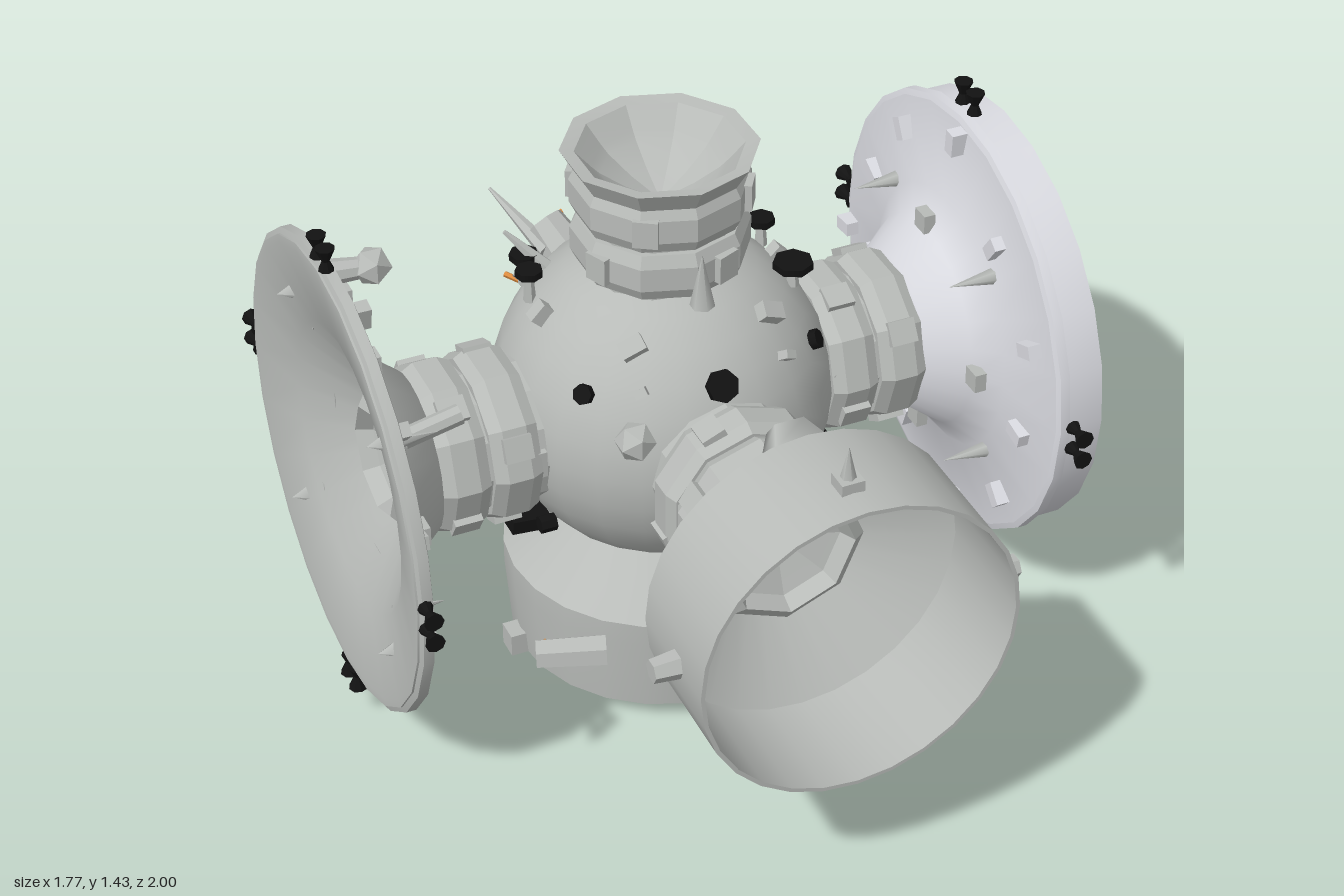
import * as THREE from 'three';
import { toCreasedNormals } from 'three/addons/utils/BufferGeometryUtils.js';

const mat = (name, color) => {
  const m = new THREE.MeshStandardMaterial({ color, side: THREE.DoubleSide });
  m.name = name;
  return m;
};
const V = (x, y, z) => new THREE.Vector3(x, y, z);
const UP = V(0, 1, 0);
const CENTRE = V(-0.03, 0.75, -0.1);

export function createModel() {
  const root = new THREE.Group();
  const grey = mat('hull grey', 0xb8bbb8);
  const pale = mat('pale dish', 0xdadbe1);
  const black = mat('black fittings', 0x121212);
  const orange = mat('orange rails', 0xdc8c40);

  // Mesh whose own y axis is turned towards dir
  function add(parent, name, geo, material, pos = V(0, 0, 0), dir = UP) {
    const m = new THREE.Mesh(geo, material);
    m.name = name;
    m.position.copy(pos);
    m.quaternion.setFromUnitVectors(UP, dir.clone().normalize());
    parent.add(m);
    return m;
  }
  const lathe = (pts, sides, crease = 0.5) => toCreasedNormals(
    new THREE.LatheGeometry(pts.map(p => new THREE.Vector2(p[0], p[1])), sides), crease);
  const cyl = (r1, r2, h, n = 8) => toCreasedNormals(new THREE.CylinderGeometry(r1, r2, h, n), 0.5);
  const box = (x, y, z) => new THREE.BoxGeometry(x, y, z);
  function rod(parent, name, a, b, r1, r2, material, n = 8) {
    const d = b.clone().sub(a);
    return add(parent, name, cyl(r2, r1, d.length(), n), material, a.clone().add(b).multiplyScalar(0.5), d);
  }

  // Arm frame: local y runs outwards from the sphere centre
  function arm(name, dir) {
    const g = new THREE.Group();
    g.name = name;
    g.position.copy(CENTRE);
    g.quaternion.setFromUnitVectors(UP, dir);
    root.add(g);
    return g;
  }
  // Two faceted docking rings round an open neck
  function collar(g, start) {
    add(g, 'neck', lathe([[0.185, start - 0.08], [0.185, start + 0.27]], 12), grey);
    [start, start + 0.13].forEach((d, i) => {
      add(g, 'dockingRing', lathe([[0.17, d], [0.2, d], [0.215, d + 0.03], [0.215, d + 0.09],
        [0.2, d + 0.12], [0.17, d + 0.12]], 10, 0.2), grey);
      for (let k = 0; k < 4; k++) {
        const a = k * Math.PI / 2 + 0.4 + i * 0.6;
        add(g, 'ringLatch', box(0.06, 0.07, 0.03), grey, V(Math.sin(a) * 0.205, d + 0.06, Math.cos(a) * 0.205)).rotation.y = a;
      }
    });
  }
  const hub = (g, d, s = 1) => add(g, 'hatch', lathe([[0.19 * s, d - 0.05], [0.19 * s, d + 0.02],
    [0.16 * s, d + 0.04], [0.14 * s, d], [0.06 * s, d - 0.03], [0, d - 0.05]], 8, 0.1), grey);

  // Central sphere
  add(root, 'coreSphere', new THREE.SphereGeometry(0.415, 24, 16), grey, CENTRE);

  // Top port with flared lip and funnel
  const top = arm('topPort', UP);
  collar(top, 0.38);
  add(top, 'flaredLip', lathe([[0.2, 0.62], [0.235, 0.68], [0.2, 0.675], [0.16, 0.63], [0.14, 0.61],
    [0.08, 0.57], [0, 0.53]], 10, 0.2), grey);

  // Front module, open at its end
  const front = arm('frontModule', V(0, 0, 1));
  collar(front, 0.4);
  add(front, 'frontShell', lathe([[0.18, 0.64], [0.21, 0.66], [0.39, 0.8], [0.39, 1.1], [0.38, 1.1],
    [0.38, 0.81], [0.17, 0.67]], 28), grey);
  hub(front, 0.7);

  // Base module, hollow from below
  const base = arm('baseModule', V(0, -1, 0));
  add(base, 'baseShell', lathe([[0.2, 0.3], [0.4, 0.44], [0.4, 0.5], [0.385, 0.7], [0.375, 0.7],
    [0.36, 0.58], [0.29, 0.5], [0.17, 0.46], [0, 0.45]], 24, 0.85), grey);
  add(base, 'basePlate', box(0.07, 0.04, 0.15), grey, V(0.14, 0.48, 0.13)).rotation.y = 0.4;

  // Side dishes
  function dish(name, sign, start, back, rim, R, material) {
    const g = arm(name, V(sign, 0, 0));
    g.position.y -= 0.01;
    collar(g, start);
    add(g, 'dishShell', lathe([[0.17, start + 0.24], [0.2, start + 0.25], [0.27, back - 0.06], [0.34, back - 0.01],
      [R, back + 0.015], [R, rim], [R - 0.02, rim], [0.36, back + 0.015], [0.17, 0.68]], 24, 0.7), material);
    add(g, 'rimBand', lathe([[R, back + 0.015], [R + 0.015, back + 0.02], [R + 0.015, back + 0.045], [R, back + 0.05]], 24), material);
    hub(g, 0.7, 0.85);
    // Small boxes on the back, studs in the bowl
    for (let i = 0; i < 11; i++) {
      const a = i * 0.571 + 0.2, r = 0.43 + (i % 3) * 0.045;
      add(g, 'dishBox', box(0.035, 0.04, 0.06), material, V(Math.sin(a) * r, back - 0.005, Math.cos(a) * r)).rotation.y = a;
    }
    // Bowl depth at a radius of 0.44
    const bowl = back + 0.015 + (rim - back - 0.015) * 0.08 / (R - 0.38);
    for (let i = 0; i < 4; i++) {
      const a = i * Math.PI / 2 + 0.75, r = 0.44;
      add(g, 'dishStud', new THREE.ConeGeometry(0.028, 0.05, 4), material,
        V(Math.sin(a) * r, bowl + 0.01, Math.cos(a) * r));
      add(g, 'dishSpike', new THREE.ConeGeometry(0.022, 0.13, 6), grey,
        V(Math.sin(a) * 0.36, back - 0.06, Math.cos(a) * 0.36), V(0, -1, 0));
      add(g, 'coneBlock', box(0.05, 0.03, 0.05), grey, V(Math.sin(a + 0.8) * 0.29, back - 0.06, Math.cos(a + 0.8) * 0.29));
    }
    // Thruster pairs round the rim
    for (let k = 0; k < 4; k++) {
      const a = k * Math.PI / 2, out = V(Math.sin(a), 0, Math.cos(a));
      for (const s of [-1, 1]) {
        const p = out.clone().multiplyScalar(0.617).add(V(Math.cos(a) * s * 0.03, sign > 0 ? 0.81 : 0.83, -Math.sin(a) * s * 0.03));
        add(g, 'thruster', lathe([[0, -0.028], [0.019, -0.028], [0.009, -0.004], [0.024, 0.03], [0, 0.03]], 8), black, p, out);
      }
    }
  }
  dish('leftDish', 1, 0.37, 0.77, 0.91, 0.555, pale);
  dish('rightDish', -1, 0.39, 0.79, 0.845, 0.575, grey);

  // Equipment behind the dishes
  add(root, 'dishBoom', box(0.09, 0.06, 0.26), grey, V(-0.78, 1.07, -0.42));
  add(root, 'dishStrip', box(0.03, 0.22, 0.05), pale, V(0.727, 0.62, -0.45));
  rod(root, 'ballStalk', V(-0.83, 1.17, -0.29), V(-0.7, 1.17, -0.27), 0.035, 0.025, grey);
  add(root, 'sensorBall', new THREE.IcosahedronGeometry(0.05, 0), grey, V(-0.69, 1.17, -0.27));
  rod(root, 'dishTank', V(-0.76, 0.94, 0.1), V(-0.62, 0.97, 0.1), 0.025, 0.025, grey);

  // Back port with its orange crown of rails
  const rear = arm('backPort', V(0, 0, -1));
  add(rear, 'portCap', lathe([[0.22, 0.33], [0.2, 0.4], [0.17, 0.42], [0.14, 0.4], [0, 0.41]], 14), grey);
  for (let i = 0; i < 10; i++) {
    const a = i * Math.PI / 5, b = a + 0.4;
    const at = (t, r, d) => V(Math.sin(t) * r, d, Math.cos(t) * r);
    rod(rear, 'crownRail', at(a, 0.13, 0.41), at(a, 0.22, 0.5), 0.008, 0.008, orange, 5);
    if (i % 3 === 0) rod(rear, 'crownHoop', at(a, 0.22, 0.5), at(b, 0.22, 0.5), 0.006, 0.006, orange, 5);
    rod(rear, 'portRail', at(a, 0.16, 0.43), at(b, 0.16, 0.43), 0.008, 0.008, orange, 5);
  }

  // Level black discs on short stalks above the sphere
  const onSphere = (x, z) => V(x, Math.sqrt(Math.max(0, 0.172 - x * x - z * z)), z);
  for (const [x, z, r, h] of [[-0.27, -0.2, 0.036, 0.08], [-0.3, -0.09, 0.034, 0.08], [0.27, -0.19, 0.036, 0.09],
    [0.3, -0.08, 0.034, 0.07], [0.3, 0.1, 0.05, 0.06]]) {
    const p = onSphere(x, z).add(CENTRE), q = p.clone().add(V(0, h, 0));
    rod(root, 'discStalk', p, q, 0.016, 0.01, grey, 6);
    add(root, 'blackDisc', new THREE.CylinderGeometry(r, r, 0.018, 7), black, q);
  }
  // Black sensors lying on the sphere
  for (const [x, z, r] of [[0.3, 0.22, 0.025], [-0.29, 0.22, 0.025], [0, 0.35, 0.04]]) {
    const d = onSphere(x, z);
    add(root, 'blackSensor', new THREE.CylinderGeometry(r, r, 0.03, 7), black, d.clone().add(CENTRE), d);
  }
  for (const s of [-1, 1]) {
    // Low grilles on short struts
    add(root, 'blackGrille', box(0.1, 0.035, 0.08), black, V(-0.02 + s * 0.38, 0.47, -0.08)).rotation.z = s * 0.1;
    rod(root, 'grilleStrut', V(-0.03 + s * 0.27, 0.47, -0.08), V(-0.03 + s * 0.35, 0.46, -0.08), 0.025, 0.015, grey, 6);
    add(root, 'lowSensor', cyl(0.022, 0.022, 0.04, 7), black, V(-0.03 + s * 0.385, 0.585, 0.1), V(s, 0, 0));
    // Upper rear stubs, antennas and side boxes
    const stub = V(s * 0.13, 0.25, -0.31);
    add(root, 'rearStub', cyl(0.05, 0.065, 0.14, 8), grey, stub.clone().add(CENTRE), stub);
    const mast = V(s * 0.22, 0.29, -0.17).add(CENTRE);
    rod(root, 'mast', mast, mast.clone().add(V(s * 0.09, 0.1, -0.05)), 0.022, 0.006, grey, 6);
    rod(root, 'rearSpike', V(-0.03 + s * 0.17, 1.0, -0.4), V(-0.03 + s * 0.24, 1.08, -0.6), 0.025, 0.004, grey, 6);
    for (const [x, z, w] of [[0.3, 0, 0.05], [0.17, 0.23, 0.06], [0.24, -0.25, 0.05], [0.18, 0.3, 0.03]]) {
      const d = onSphere(s * x, z);
      add(root, 'sphereBox', box(w, 0.06, w * 0.7), grey, d.clone().add(CENTRE), d);
    }
    // Side nubs of the front module and lips beside its collar
    rod(root, 'sideNub', V(-0.03 + s * 0.38, 0.75, 0.87), V(-0.03 + s * 0.45, 0.75, 0.87), 0.035, 0.028, grey, 6);
    add(root, 'sideLip', box(0.07, 0.07, 0.08), grey, V(-0.03 + s * 0.41, 0.75, 0.05));
  }
  add(root, 'sphereSpike', new THREE.ConeGeometry(0.03, 0.14, 6), grey, V(-0.03, 1.2, 0.14));
  add(root, 'sideBall', new THREE.IcosahedronGeometry(0.05, 0), grey, V(-0.27, 0.92, 0.3));

  // Front module fittings
  add(root, 'topSpike', new THREE.ConeGeometry(0.025, 0.11, 6), grey, V(-0.03, 1.19, 0.9));
  add(root, 'topBlock', box(0.055, 0.03, 0.055), grey, V(-0.03, 1.15, 0.9));
  add(root, 'wedgeBlock', new THREE.CylinderGeometry(0.05, 0.09, 0.06, 4).rotateY(Math.PI / 4), grey,
    V(-0.03, 1.07, 0.61), V(0, 0.61, -0.79));
  add(root, 'smallBlock', box(0.03, 0.04, 0.02), grey, V(0.23, 0.44, 0.77));

  // Base module fittings
  rod(root, 'baseTank', V(-0.47, 0.225, 0.14), V(-0.31, 0.23, 0.2), 0.038, 0.042, grey, 6);
  add(root, 'baseBlock', box(0.05, 0.06, 0.06), grey, V(-0.43, 0.08, -0.1));
  add(root, 'baseRearBlock', box(0.07, 0.07, 0.05), grey, V(-0.25, 0.2, -0.43)).rotation.y = 0.5;
  rod(root, 'baseRail', V(0.37, 0.15, -0.2), V(0.375, 0.15, 0.07), 0.008, 0.008, orange, 5);
  rod(root, 'baseRail', V(0.35, 0.15, 0.07), V(0.41, 0.15, 0.07), 0.008, 0.008, orange, 5);
  for (const [x, z, y0, y1] of [[0.31, 0.14, 0.06, 0.15], [0.21, -0.41, 0, 0.18], [-0.4, 0.03, 0.08, 0.16]])
    rod(root, 'basePost', V(x, y0, z), V(x, y1, z), 0.008, 0.008, orange, 5);

  // Jointed arm at the back, ending in a wedge
  rod(root, 'armRoot', V(-0.03, 0.13, -0.45), V(-0.03, 0.12, -0.63), 0.075, 0.065, grey);
  rod(root, 'armElbow', V(-0.03, 0.115, -0.6), V(-0.03, 0.115, -0.785), 0.065, 0.065, grey);
  rod(root, 'armCross', V(0, 0.11, -0.71), V(-0.37, 0.11, -0.71), 0.05, 0.058, grey);
  const wedge = new THREE.Shape([[0, 0.05], [0, -0.05], [0.28, -0.075], [0.3, -0.07], [0.29, -0.055]]
    .map(p => new THREE.Vector2(p[0], p[1])));
  add(root, 'armTip', new THREE.ExtrudeGeometry(wedge, { depth: 0.07, bevelEnabled: false }).rotateY(Math.PI / 2),
    grey, V(-0.345, 0.105, -0.7));
  for (const [x, y, z] of [[-0.12, 0.22, -0.62], [0.06, 0.2, -0.6], [-0.2, 0.19, -0.55]])
    rod(root, 'armSpike', V(x * 0.8, y + 0.08, -0.4), V(x, y, z), 0.045, 0.005, grey, 5);

  return root;
}
